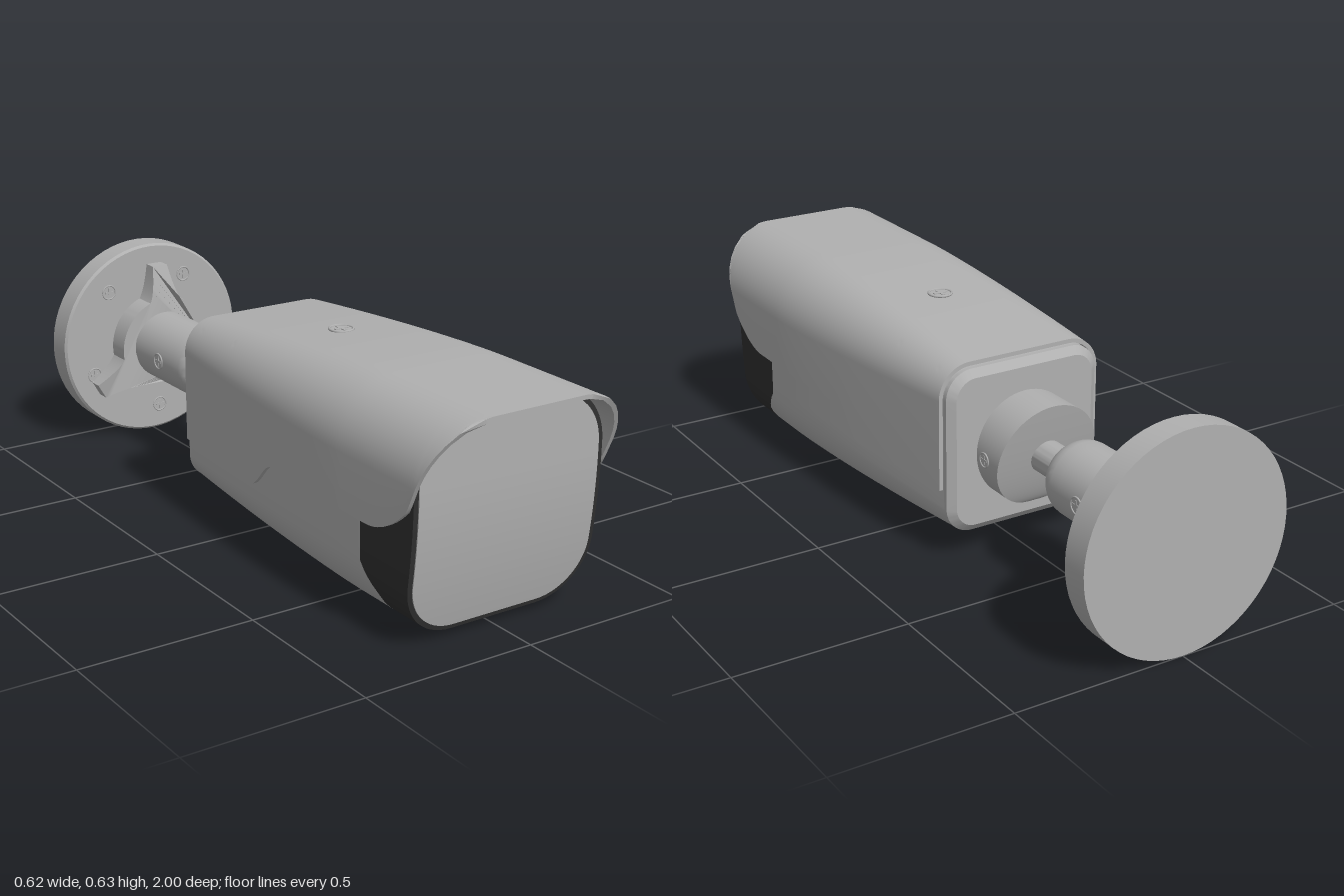
import * as THREE from 'three';
import { toCreasedNormals } from 'three/addons/utils/BufferGeometryUtils.js';

const CY = 0.315; // height of the mount axis
const grey = new THREE.MeshStandardMaterial({ color: 0xb0b0b0 });
grey.name = 'greyPaint';
const black = new THREE.MeshStandardMaterial({ color: 0x303030 });
black.name = 'blackPlastic';

const clamp01 = THREE.MathUtils.clamp;
const smooth = THREE.MathUtils.smoothstep;

// Body cross-section size at depth z, grown outwards by off
function section(z, off = 0) {
  const k = Math.pow(clamp01((0.6 - z) / 0.85, 0, 1), 1.5);
  return {
    hw: 0.295 - 0.055 * k + off, yb: 0.028 + 0.057 * k - off,
    yt: 0.618 - 0.058 * k + off, r: 0.16 - 0.08 * k + off,
  };
}

const mirrored = (half) => [...half, ...half.slice().reverse().map(([x, y]) => [-x, y])];

// Closed rounded rectangle, counter-clockwise from the bottom
function roundedRing({ hw, yb, yt, r }) {
  const half = [], n = 14;
  for (let i = 0; i <= n; i++) {
    const a = -Math.PI / 2 + (i / n) * Math.PI / 2;
    half.push([hw - r + r * Math.cos(a), yb + r + r * Math.sin(a)]);
  }
  for (let i = 1; i < 8; i++) half.push([hw, yb + r + (yt - yb - 2 * r) * i / 8]);
  for (let i = 0; i <= n; i++) {
    const a = (i / n) * Math.PI / 2;
    half.push([hw - r + r * Math.cos(a), yt - r + r * Math.sin(a)]);
  }
  return mirrored(half);
}

// Open arch above height low
function arch({ hw, yt, r }, low) {
  const y0 = Math.min(low, yt - 0.002), start = Math.max(0, (y0 - (yt - r)) / r);
  const a0 = Math.asin(start), half = [], n = 16;
  if (y0 < yt - r) half.push([hw, y0]);
  else half.push([hw - r + r * Math.cos(a0), y0]);
  for (let i = 0; i <= n; i++) {
    const a = a0 + (Math.PI / 2 - a0) * i / n;
    half.push([hw - r + r * Math.cos(a), yt - r + r * Math.sin(a)]);
  }
  return mirrored(half);
}

const place = (ring, z) => ring.map(([x, y]) => [x, y, typeof z === 'function' ? z(y) : z]);

// Skin over rings ordered from back to front, closed at both ends
function loft(rings, crease = 0.5) {
  const n = rings[0].length, index = [];
  rings.slice(1).forEach((_, k) => {
    for (let i = 0; i < n; i++) {
      const j = (i + 1) % n, a = k * n + i, b = k * n + j;
      index.push(a, b, b + n, a, b + n, a + n);
    }
  });
  const last = (rings.length - 1) * n;
  for (let i = 0; i < n / 2 - 1; i++) {
    const j = n - 1 - i;
    index.push(last + i, last + i + 1, last + j - 1, last + i, last + j - 1, last + j);
    index.push(i, j - 1, i + 1, i, j, j - 1);
  }
  const g = new THREE.BufferGeometry();
  g.setAttribute('position', new THREE.Float32BufferAttribute(rings.flat(2), 3));
  g.setIndex(index);
  return toCreasedNormals(g, crease);
}

// Lathe about the mount axis; points are [radius, distance behind the origin]
function turned(points) {
  const g = new THREE.LatheGeometry(points.map(([r, h]) => new THREE.Vector2(r, h)), 64);
  return toCreasedNormals(g.rotateX(-Math.PI / 2), 0.5);
}

export function createModel() {
  const model = new THREE.Group();
  const add = (name, geometry, material = grey, y = 0) => {
    const m = new THREE.Mesh(geometry, material);
    m.name = name;
    m.position.y = y;
    model.add(m);
    return m;
  };

  // Housing: grey shell, black front surround and grey window
  const seam = (y) => 0.74 - 0.06 * clamp01((y - 0.11) / 0.08, 0, 1);
  const face = (y) => 0.9 - 0.047 * Math.pow(Math.max(0, 0.45 - y) / 0.42, 2);
  const shell = [];
  for (let i = 0; i <= 14; i++) {
    const z = -0.25 + 0.85 * i / 14;
    shell.push(place(roundedRing(section(z)), z));
  }
  const frontRing = roundedRing(section(0.9));
  shell.push(place(frontRing, seam));
  add('housing', loft(shell));
  add('frontSurround', loft([place(frontRing, seam), place(frontRing, face)]), black);
  const pane = roundedRing({ hw: 0.281, yb: 0.041, yt: 0.604, r: 0.147 });
  add('window', loft([place(pane, (y) => face(y) - 0.02), place(pane, (y) => face(y) + 0.003)]));

  // Rear cap with chamfered edge
  const cap = { hw: 0.24, yb: 0.085, yt: 0.56, r: 0.08 };
  const capEnd = { hw: 0.218, yb: 0.107, yt: 0.538, r: 0.06 };
  add('rearCap', loft([place(roundedRing(capEnd), -0.28), place(roundedRing(cap), -0.262),
    place(roundedRing(cap), -0.24)], 0.3));

  // Sun hood: thin arch with a stepped lower edge and raked front
  const lowEdge = (z) => {
    if (z < 0.72) return 0.22 + 0.085 * smooth(z, 0.15, 0.27);
    if (z < 0.89) return 0.305 + 0.085 * Math.pow((z - 0.72) / 0.17, 2);
    return 0.39 + 0.24 * (z - 0.89) / 0.11;
  };
  const hood = [];
  for (let i = 0; i <= 100; i++) {
    const z = -0.25 + 1.25 * i / 100, low = lowEdge(z);
    const ring = [...arch(section(z, 0.015), low), ...arch(section(z, 0.003), low).reverse()];
    hood.push(place(ring, z));
  }
  add('sunHood', loft(hood));

  // Collar with a sloping rear face, and the ball rod
  const collar = roundedRing({ hw: 0.155, yb: CY - 0.155, yt: CY + 0.155, r: 0.155 });
  const collarBack = (y) => -0.325 - 0.09 * Math.pow(clamp01((y - 0.16) / 0.31, 0, 1), 0.6);
  add('collar', loft([place(collar, collarBack), place(collar, -0.27)]));
  add('ballRod', turned([[0, 0.36], [0.048, 0.36], [0.048, 0.52], [0, 0.52]]), grey, CY);

  // Rounded arm, flattened underneath near its tip
  const arm = [];
  for (let i = 0; i <= 10; i++) {
    const a = i / 10 * Math.PI / 2;
    arm.push([0.107 * Math.sin(a), 0.56 - 0.085 * Math.cos(a)]);
  }
  arm.push([0.107, 0.6], [0.107, 0.63], [0.107, 0.85], [0, 0.85]);
  const armGeometry = turned(arm), p = armGeometry.attributes.position;
  for (let i = 0; i < p.count; i++) if (p.getZ(i) > -0.61) p.setY(i, Math.max(p.getY(i), -0.085));
  add('arm', toCreasedNormals(armGeometry, 0.5), grey, CY);

  // Three-winged locking nut
  const star = new THREE.Shape();
  for (let k = 0; k < 3; k++) {
    const a = Math.PI / 2 + k * Math.PI * 2 / 3, root = 0.36;
    const at = (r, t) => [r * Math.cos(a + t), r * Math.sin(a + t)];
    if (k === 0) star.moveTo(...at(0.155, -root));
    star.quadraticCurveTo(...at(0.18, -0.2), ...at(0.255, -0.1));
    star.lineTo(...at(0.255, 0.1));
    star.quadraticCurveTo(...at(0.18, 0.2), ...at(0.155, root));
    star.absarc(0, 0, 0.155, a + root, a + Math.PI * 2 / 3 - root, false);
  }
  const nut = new THREE.ExtrudeGeometry(star, { depth: 0.072, bevelEnabled: false, curveSegments: 10 });
  const q = nut.attributes.position;
  for (let i = 0; i < q.count; i++) {
    const r = Math.hypot(q.getX(i), q.getY(i));
    if (q.getZ(i) > 0.01 && r > 0.16) q.setZ(i, 0.072 - 0.032 * (r - 0.16) / 0.095);
  }
  nut.translate(0, 0, -0.89);
  add('wingNut', toCreasedNormals(nut, 0.5), grey, CY);
  add('nutNeck', turned([[0, 0.88], [0.14, 0.88], [0.14, 0.92], [0, 0.92]]), grey, CY);
  add('wallPlate', turned([[0, 0.915], [0.303, 0.915], [0.31, 0.922], [0.31, 1], [0, 1]]), grey, CY);

  // Cross-head screws
  const screw = (name, r, position, direction) => {
    const g = new THREE.Group();
    g.name = name;
    const part = (geometry, y) => {
      const m = new THREE.Mesh(geometry, grey);
      m.position.y = y;
      g.add(m);
    };
    part(new THREE.CylinderGeometry(r * 0.9, r * 0.9, 0.01, 24), -0.003);
    part(new THREE.TorusGeometry(r * 0.92, r * 0.1, 8, 28).rotateX(Math.PI / 2), 0.002);
    part(new THREE.BoxGeometry(r * 1.2, 0.004, r * 0.28), 0.002);
    part(new THREE.BoxGeometry(r * 0.28, 0.004, r * 1.2), 0.002);
    g.position.set(...position);
    g.quaternion.setFromUnitVectors(new THREE.Vector3(0, 1, 0), new THREE.Vector3(...direction));
    model.add(g);
  };
  screw('hoodScrew', 0.036, [0, section(0.165, 0.015).yt + 0.001, 0.165], [0, 1, 0]);
  for (const s of [-1, 1]) {
    screw('collarScrew', 0.022, [s * 0.155, CY, -0.32], [s, 0, 0]);
    screw('armScrew', 0.026, [s * 0.106, CY, -0.68], [s, 0, 0]);
  }
  for (let k = 0; k < 5; k++) {
    const a = (59 + 72 * k) * Math.PI / 180;
    screw('plateScrew', 0.024, [0.23 * Math.cos(a), CY + 0.23 * Math.sin(a), -0.914], [0, 0, 1]);
  }

  // Underside: access panel, speaker dots and a narrow rib
  const under = (name, geometry, x, z) => {
    const m = add(name, geometry, grey, section(z).yb);
    m.position.x = x;
    m.position.z = z;
  };
  under('accessPanel', new THREE.BoxGeometry(0.28, 0.008, 0.2), 0, 0.54);
  for (const x of [-0.12, 0.12]) for (const z of [0.46, 0.62])
    screw('panelScrew', 0.012, [x, section(z).yb - 0.004, z], [0, -1, 0]);
  const dot = new THREE.CylinderGeometry(0.006, 0.006, 0.006, 8);
  for (let i = 0; i < 15; i++) for (let j = 0; j < 8 - i % 2; j++)
    under('speakerDot', dot, (j - (7 - i % 2) / 2) * 0.026, 0 + i * 0.024);
  under('rearRib', new THREE.BoxGeometry(0.25, 0.008, 0.018), 0, -0.16);

  return model;
}
